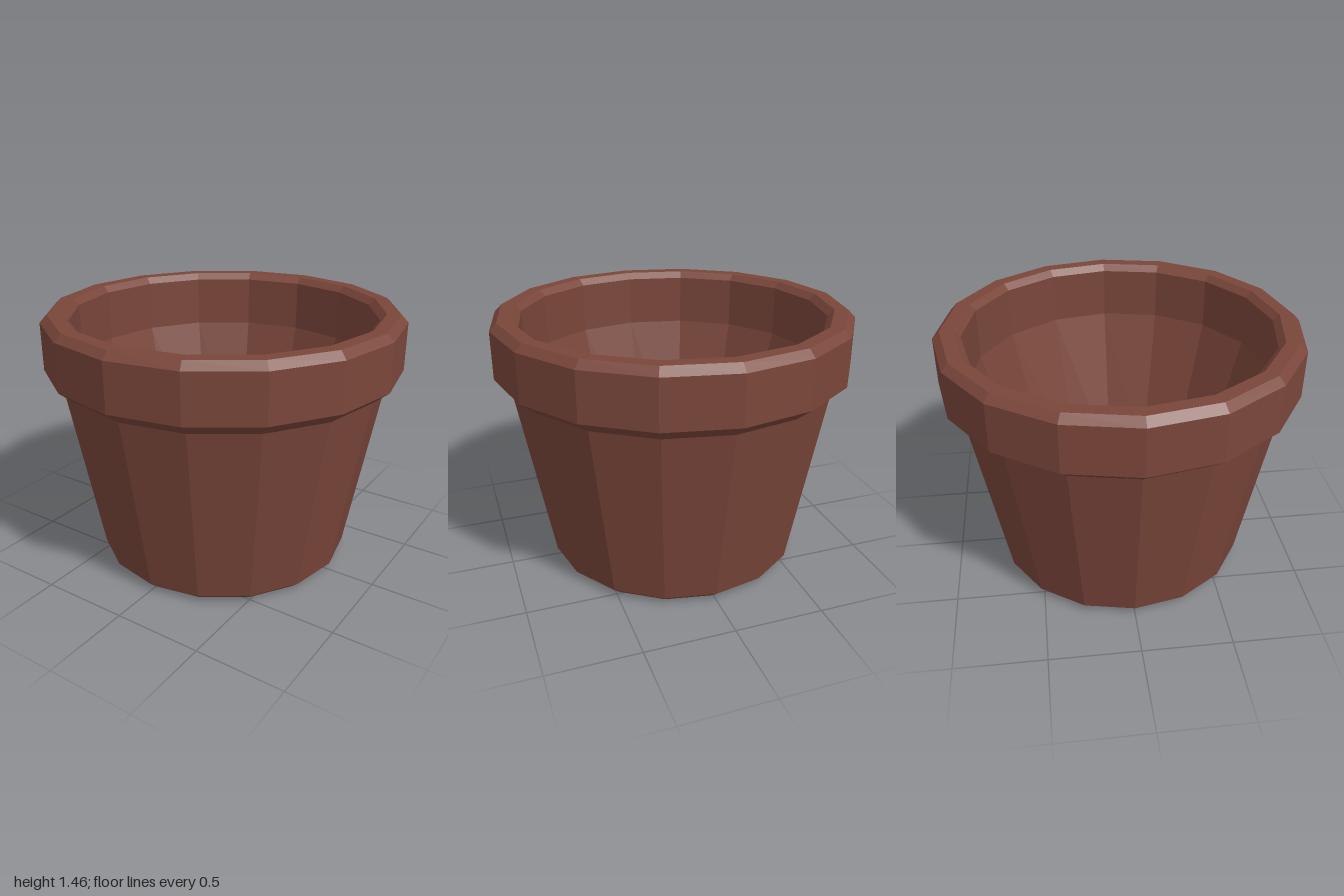
import * as THREE from 'three';

const SIDES = 16;

export function createModel() {
  const pot = new THREE.Group();
  pot.name = 'flowerPot';
  const clay = new THREE.MeshStandardMaterial({ color: 0x7a463a, flatShading: true });

  const add = (name, geometry) => {
    const mesh = new THREE.Mesh(geometry, clay);
    mesh.name = name;
    pot.add(mesh);
    return mesh;
  };

  // Faceted ring turned from [radius, height] points
  const turn = (name, profile) => {
    const points = profile.map(([r, y]) => new THREE.Vector2(r, y));
    const geometry = new THREE.LatheGeometry(points, SIDES).toNonIndexed();
    geometry.computeVertexNormals();
    return add(name, geometry);
  };

  // Flat disc closing the pot, facing up or down
  const disc = (name, radius, y, up) => {
    const geometry = new THREE.CircleGeometry(radius, SIDES);
    geometry.rotateX(up ? -Math.PI / 2 : Math.PI / 2);
    add(name, geometry).position.y = y;
  };

  // Tapered outside with a bevelled foot
  turn('outerWall', [[0.685, 0], [0.73, 0.04], [0.915, 1.08]]);

  // Thick collar with bevelled edges
  turn('rim', [[0.915, 1.08], [1, 1.15], [1, 1.415], [0.96, 1.455], [0.885, 1.455], [0.85, 1.42]]);

  // Inside: straight below the rim, then tapering to the floor
  turn('innerWall', [[0.85, 1.42], [0.85, 1.13], [0.58, 0.18], [0.54, 0.14]]);

  disc('floor', 0.54, 0.14, true);
  disc('base', 0.685, 0, false);

  return pot;
}
